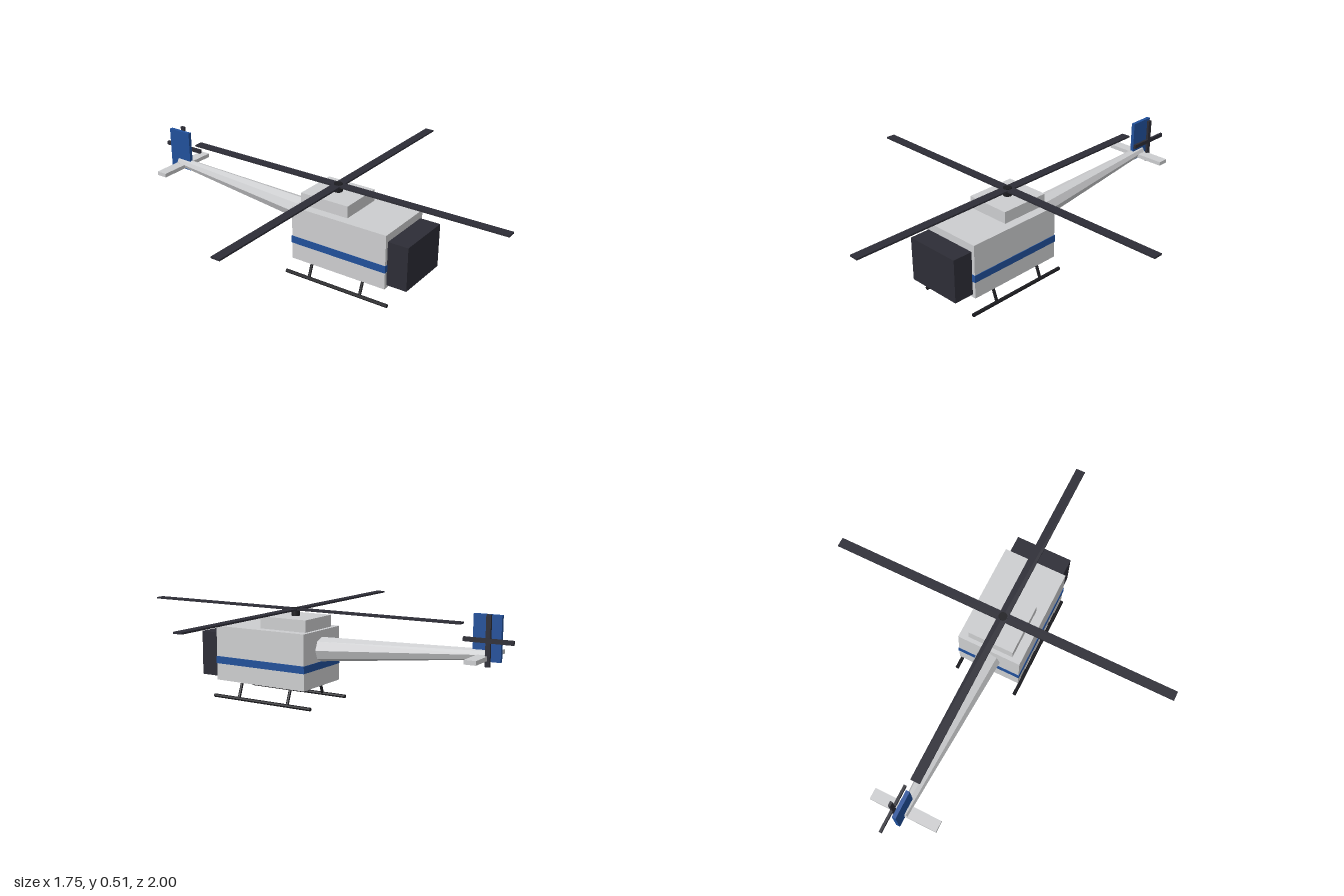
import * as THREE from 'three';

export function createModel() {
  const model = new THREE.Group();
  const paint = (name, color) => {
    const m = new THREE.MeshStandardMaterial({ color });
    m.name = name;
    return m;
  };
  const grey = paint('light grey', 0xcccdcf);
  const blue = paint('blue', 0x21509a);
  const dark = paint('dark glass', 0x2d2d36);
  const black = paint('black', 0x1c1c20);

  const add = (name, geometry, material, x, y, z) => {
    const mesh = new THREE.Mesh(geometry, material);
    mesh.name = name;
    mesh.position.set(x, y, z);
    model.add(mesh);
    return mesh;
  };
  const box = (name, material, w, h, d, x, y, z) =>
    add(name, new THREE.BoxGeometry(w, h, d), material, x, y, z);

  // Cylinder running between two points
  const rod = (name, material, from, to, r0, r1, sides) => {
    const a = new THREE.Vector3(...from), b = new THREE.Vector3(...to);
    const geometry = new THREE.CylinderGeometry(r1, r0, a.distanceTo(b), sides).toNonIndexed();
    geometry.computeVertexNormals();
    const mid = a.clone().add(b).multiplyScalar(0.5);
    const mesh = add(name, geometry, material, mid.x, mid.y, mid.z);
    mesh.quaternion.setFromUnitVectors(new THREE.Vector3(0, 1, 0), b.sub(a).normalize());
    return mesh;
  };

  // Cabin, windscreen, stripe and engine cover
  box('cabin', grey, 0.322, 0.272, 0.514, 0, 0.227, 0.233);
  box('windscreen', dark, 0.288, 0.22, 0.14, 0, 0.216, 0.524);
  box('stripe', blue, 0.328, 0.036, 0.518, 0, 0.193, 0.233);
  box('engineCover', grey, 0.23, 0.06, 0.26, 0, 0.392, 0.126);

  // Main rotor
  rod('mast', black, [0, 0.42, 0.127], [0, 0.462, 0.127], 0.021, 0.021, 12);
  box('mainBladeAcross', dark, 1.745, 0.008, 0.046, 0, 0.454, 0.127);
  box('mainBladeAlong', dark, 0.046, 0.008, 1.745, 0, 0.4545, 0.1275);

  // Tail boom, stabilizer and fin
  rod('tailBoom', grey, [0, 0.27, -0.02], [0, 0.329, -0.88], 0.06, 0.023, 8);
  box('stabilizer', grey, 0.336, 0.02, 0.055, 0, 0.317, -0.856);
  box('fin', blue, 0.018, 0.206, 0.13, 0, 0.4, -0.866);

  // Tail rotor
  box('tailBladeUpright', dark, 0.012, 0.228, 0.022, 0.041, 0.394, -0.885);
  box('tailBladeLevel', dark, 0.0125, 0.02, 0.23, 0.041, 0.394, -0.885);

  // Landing skids and struts
  for (const side of [-1, 1]) {
    rod('skid', black, [side * 0.161, 0.009, -0.061], [side * 0.161, 0.009, 0.508], 0.009, 0.009, 8);
    for (const z of [0.072, 0.358]) {
      rod('strut', black, [side * 0.126, 0.1, z], [side * 0.161, 0.009, z], 0.0075, 0.0075, 8);
    }
  }
  return model;
}
